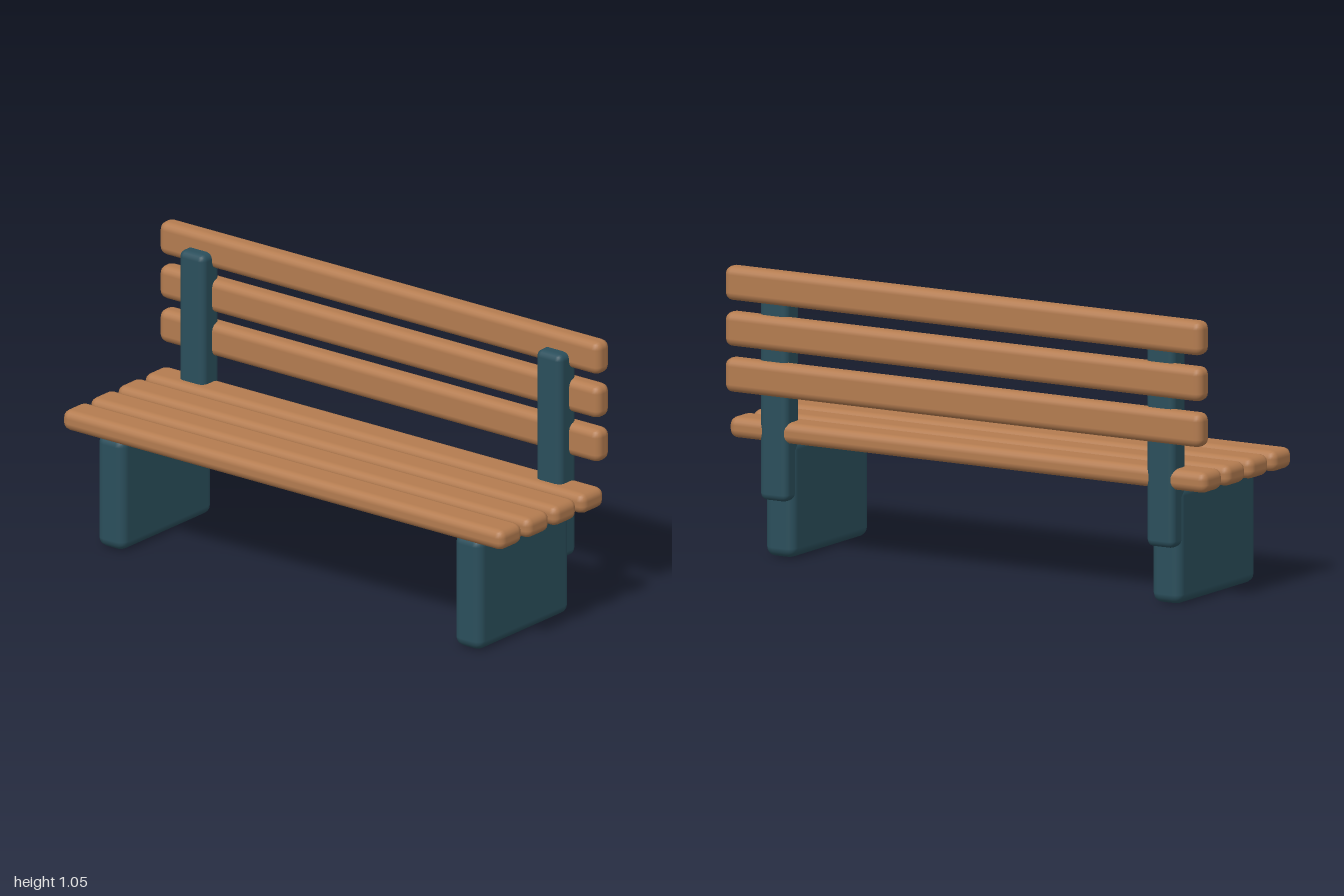
import * as THREE from 'three';
import { RoundedBoxGeometry } from 'three/addons/geometries/RoundedBoxGeometry.js';

const wood = new THREE.MeshStandardMaterial({ color: 0xb47c50 });
const frame = new THREE.MeshStandardMaterial({ color: 0x2b4f5c });

// Rounded block given its size and centre
function block(name, material, [w, h, d], [x, y, z], radius) {
  const mesh = new THREE.Mesh(new RoundedBoxGeometry(w, h, d, 2, radius), material);
  mesh.name = name;
  mesh.position.set(x, y, z);
  return mesh;
}

export function createModel() {
  const bench = new THREE.Group();
  bench.name = 'bench';

  // Seat: four flat slats, front to back
  const seat = new THREE.Group();
  seat.name = 'seat';
  for (let i = 0; i < 4; i++) {
    seat.add(block('seatSlat', wood, [2, 0.077, 0.13], [0, 0.46, 0.251 - i * 0.156], 0.03));
  }

  // Backrest: three upright slats behind the posts
  const backrest = new THREE.Group();
  backrest.name = 'backrest';
  for (let i = 0; i < 3; i++) {
    backrest.add(block('backSlat', wood, [2, 0.125, 0.077], [0, 0.655 + i * 0.1665, -0.277], 0.03));
  }

  // Slab leg and back post on each side
  for (const side of [-1, 1]) {
    const support = new THREE.Group();
    support.name = side > 0 ? 'leftSupport' : 'rightSupport';
    support.add(
      block('leg', frame, [0.124, 0.428, 0.525], [side * 0.81, 0.214, 0.016], 0.035),
      block('backPost', frame, [0.117, 0.778, 0.097], [side * 0.81, 0.599, -0.237], 0.025)
    );
    bench.add(support);
  }

  bench.add(seat, backrest);
  return bench;
}
